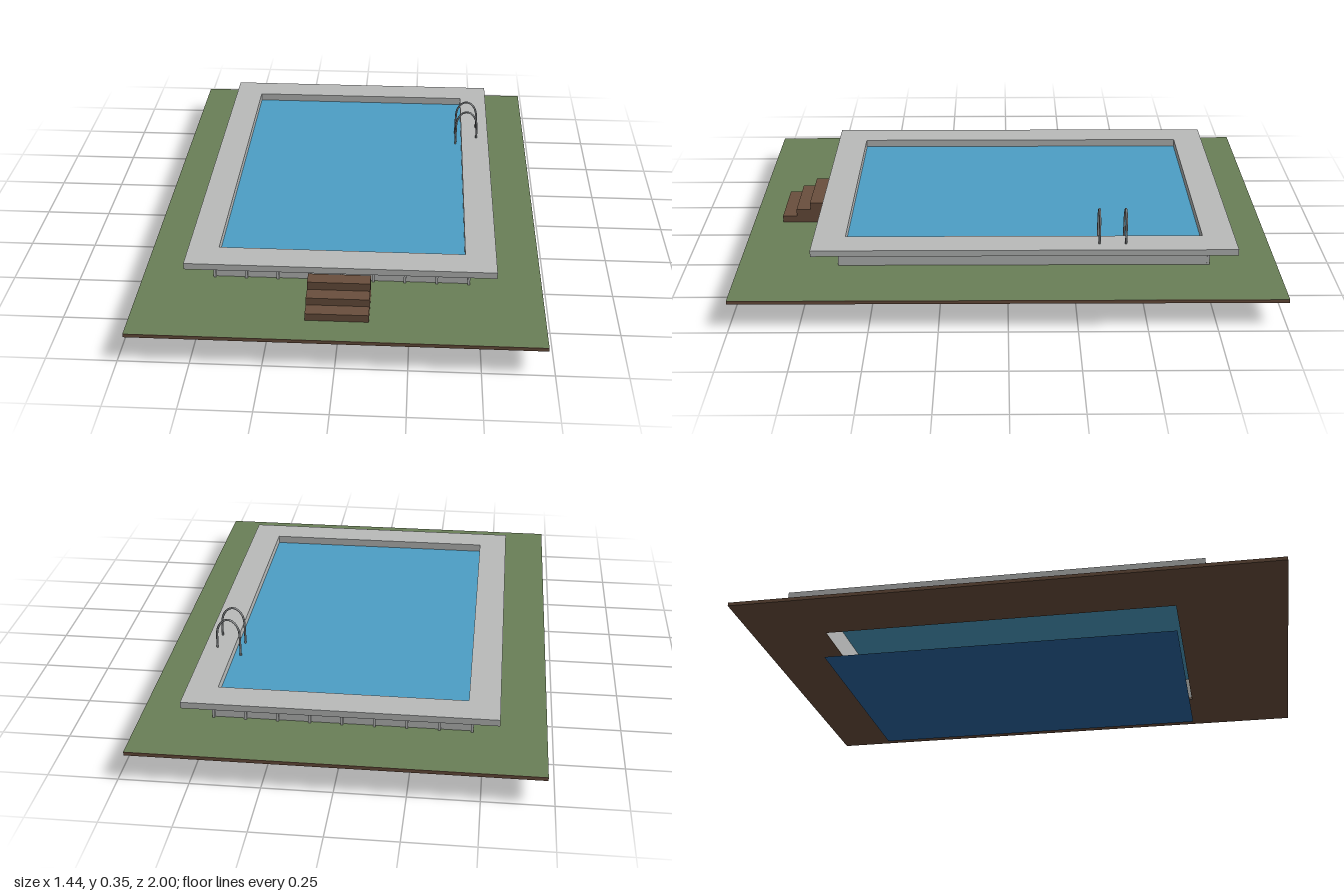
import * as THREE from 'three';

const mat = (name, color, side = THREE.FrontSide) => {
  const m = new THREE.MeshStandardMaterial({ color, side });
  m.name = name;
  return m;
};

export function createModel() {
  const group = new THREE.Group();
  const grass = mat('grass green', 0x6a7f57);
  const soil = mat('soil brown', 0x6a4f3d);
  const concrete = mat('pale concrete', 0xb9bbba);
  const water = mat('water blue', 0x4d9fc5, THREE.DoubleSide);
  const deep = mat('deep blue', 0x2b67a2, THREE.DoubleSide);
  const steel = mat('rail grey', 0x85888a);

  const CZ = -0.06, PX = 0.444, PZ = 0.66; // pool centre and half sizes

  const add = (name, geo, material, x = 0, y = 0, z = 0) => {
    const mesh = new THREE.Mesh(geo, material);
    mesh.name = name;
    mesh.position.set(x, y, z);
    group.add(mesh);
    return mesh;
  };
  // Rectangle outline; shape y maps to -z
  const rect = (C, hx, hz, cz) => {
    const s = new C();
    s.moveTo(-hx, -cz - hz).lineTo(hx, -cz - hz).lineTo(hx, -cz + hz).lineTo(-hx, -cz + hz).closePath();
    return s;
  };
  // Frame around the pool opening
  const frame = (hx, hz, cz) => {
    const s = rect(THREE.Shape, hx, hz, cz);
    s.holes.push(rect(THREE.Path, PX, PZ, CZ));
    return s;
  };
  const slab = (shape, depth) =>
    new THREE.ExtrudeGeometry(shape, { depth, bevelEnabled: false }).rotateX(-Math.PI / 2);
  const rod = (name, a, b, r, material) => {
    const curve = new THREE.LineCurve3(new THREE.Vector3(...a), new THREE.Vector3(...b));
    add(name, new THREE.TubeGeometry(curve, 1, r, 6), material);
  };

  // Ground with a grass top
  add('ground', slab(frame(0.722, 1, 0), 0.013), soil, 0, 0.1, 0);
  add('lawn', new THREE.ShapeGeometry(frame(0.722, 1, 0)).rotateX(-Math.PI / 2), grass, 0, 0.1145, 0);

  // Pool shell, deck, water and floor
  add('poolWall', slab(frame(0.464, 0.68, CZ), 0.1), concrete, 0, 0.102, 0);
  add('deck', slab(frame(0.555, 0.778, CZ), 0.024), concrete, 0, 0.201, 0);
  const sheet = () => new THREE.PlaneGeometry(PX * 2, PZ * 2).rotateX(-Math.PI / 2);
  add('water', sheet(), water, 0, 0.195, CZ);
  add('poolFloor', sheet(), deep, 0, 0, CZ);

  // Wall ribs and slanted struts on the two short ends
  for (const s of [-1, 1]) {
    for (let i = -4; i <= 4; i++) {
      add('wallRib', new THREE.BoxGeometry(0.009, 0.088, 0.01), concrete, i * 0.115, 0.158, CZ + s * 0.685);
    }
    for (let i = -2; i <= 2; i++) {
      const x = i * 0.2165;
      rod('endStrut', [x, 0.168, CZ + s * 0.68], [x, 0.203, CZ + s * 0.735], 0.004, concrete);
    }
    // Struts along the long sides
    for (let i = -3; i <= 3; i++) {
      const z = CZ + i * 0.2175;
      rod('sideStrut', [s * 0.46, 0.168, z], [s * 0.512, 0.203, z], 0.004, concrete);
    }
  }

  // Entry steps, side profile extruded across x
  const profile = new THREE.Shape();
  profile.moveTo(0.72, 0.113);
  for (const [z, y] of [[0.885, 0.113], [0.885, 0.142], [0.83, 0.142], [0.83, 0.17],
    [0.775, 0.17], [0.775, 0.2], [0.72, 0.2]]) profile.lineTo(z, y);
  const steps = new THREE.ExtrudeGeometry(profile, { depth: 0.222, bevelEnabled: false });
  steps.rotateY(-Math.PI / 2);
  add('steps', steps, soil, 0.111, 0, 0);

  // Ladder: two hooked rails and their treads
  const railPoints = [[0.435, 0.027], [0.424, 0.034], [0.42, 0.055], [0.42, 0.15], [0.42, 0.25]];
  for (let i = 1; i <= 8; i++) {
    const a = Math.PI * (1 - i / 9);
    railPoints.push([0.463 + 0.043 * Math.cos(a), 0.275 + 0.067 * Math.sin(a)]);
  }
  railPoints.push([0.506, 0.25], [0.506, 0.222]);
  const railCurve = new THREE.CatmullRomCurve3(railPoints.map(([x, y]) => new THREE.Vector3(x, y, 0)));
  for (const z of [-0.335, -0.432]) {
    add('ladderRail', new THREE.TubeGeometry(railCurve, 48, 0.004, 8), steel, 0, 0, z);
  }
  for (const y of [0.077, 0.145]) {
    add('ladderTread', new THREE.BoxGeometry(0.024, 0.004, 0.097), steel, 0.42, y, -0.3835);
  }

  return group;
}
